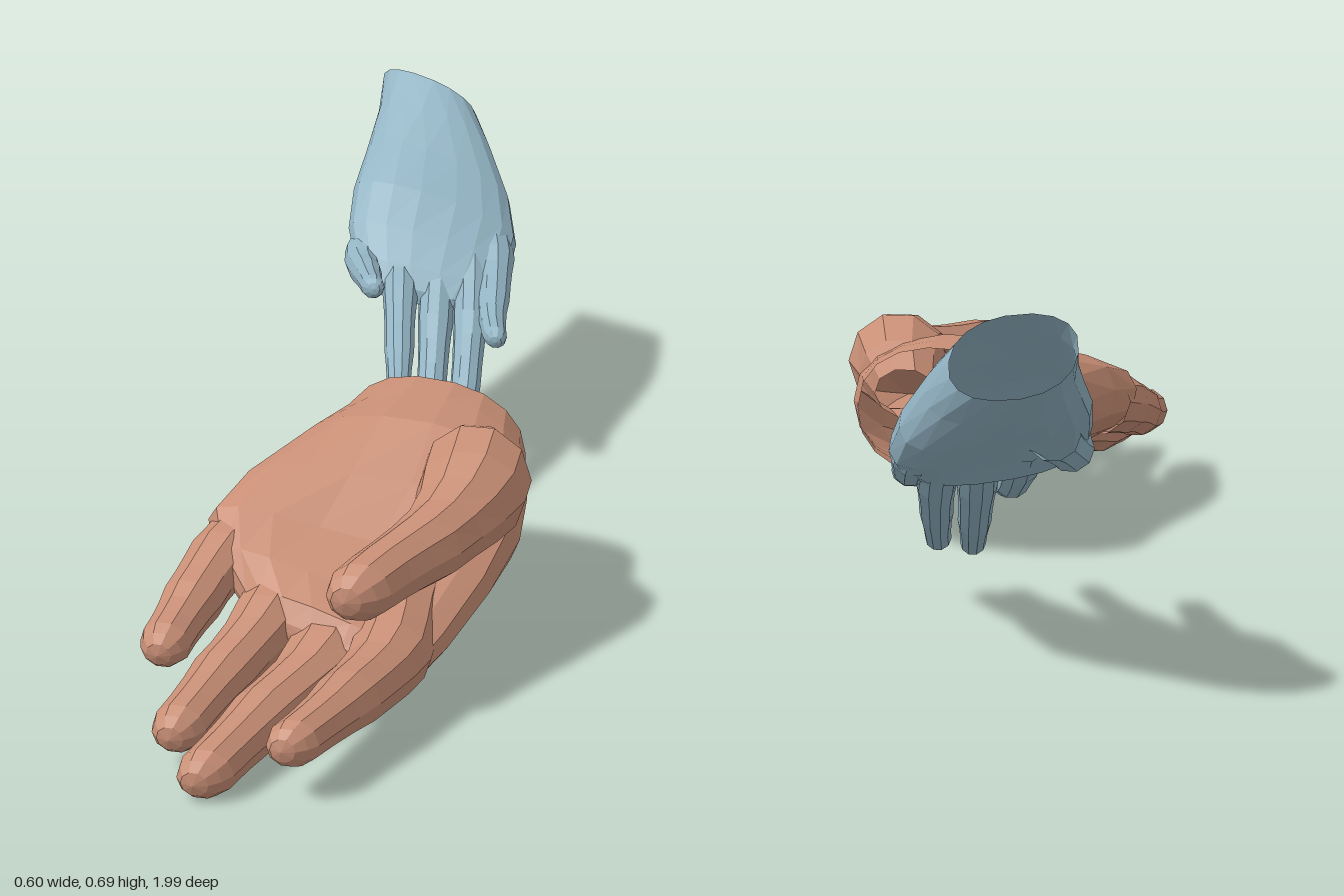
import * as THREE from 'three';

const V = (x, y, z) => new THREE.Vector3(x, y, z);

// Skin through rings: { p: centre, a: half width, b: half thickness, side: width direction, cup: hollow }
// A positive cup hollows the upper face, a negative one the lower face.
// The start stays open, the end closes on the point `tip`.
function loft(rings, sides, tip, power = 1) {
  const pos = [], idx = [];
  rings.forEach((r, i) => {
    const next = i < rings.length - 1 ? rings[i + 1].p : tip;
    const prev = i > 0 ? rings[i - 1].p : r.p;
    const tangent = next.clone().sub(prev).normalize();
    const side = r.side.clone().normalize();
    const up = tangent.clone().cross(side).normalize();
    const cup = r.cup || 0;
    for (let j = 0; j < sides; j++) {
      const t = (j / sides) * Math.PI * 2, c = Math.cos(t), s = Math.sin(t);
      const u = Math.sign(c) * Math.abs(c) ** power * r.a;
      const v = Math.sign(s) * Math.abs(s) ** power * r.b - cup * Math.max(0, s * Math.sign(cup)) ** 3;
      pos.push(...r.p.clone().addScaledVector(side, u).addScaledVector(up, v).toArray());
    }
  });
  pos.push(...tip.toArray());
  const last = rings.length - 1, end = rings.length * sides;
  for (let j = 0; j < sides; j++) {
    const k = (j + 1) % sides;
    for (let i = 0; i < last; i++) {
      const A = i * sides, B = A + sides;
      idx.push(A + j, A + k, B + k, A + j, B + k, B + j);
    }
    idx.push(last * sides + j, last * sides + k, end);
  }
  const g = new THREE.BufferGeometry();
  g.setAttribute('position', new THREE.Float32BufferAttribute(pos, 3));
  g.setIndex(idx);
  g.computeVertexNormals();
  return g;
}

// Digit along points [x, y, z, radius], with slight joint bulges and a rounded tip
function digit(points) {
  const curve = new THREE.CatmullRomCurve3(points.map(p => V(p[0], p[1], p[2])));
  const L = curve.getLength(), tipR = points[points.length - 1][3];
  const body = 1 - tipR / L, rings = [];
  const add = (u, scale) => {
    const f = curve.getUtoTmapping(u) * (points.length - 1);
    const i = Math.min(Math.floor(f), points.length - 2);
    const r = THREE.MathUtils.lerp(points[i][3], points[i + 1][3], f - i) * scale;
    rings.push({ p: curve.getPointAt(u), a: r, b: r, side: V(1, 0, 0) });
  };
  for (let i = 0; i <= 9; i++) add((body * i) / 9, 1 + 0.04 * Math.cos((i / 9) * Math.PI * 6));
  add(1 - (tipR / L) * 0.5, 0.88);
  add(1 - (tipR / L) * 0.15, 0.55);
  return loft(rings, 10, curve.getPointAt(1));
}

// Palm from rows [x, y, z, half width, half thickness, roll, yaw, cup]
function palm(rows, tip) {
  const rings = rows.map(([x, y, z, a, b, roll, yaw, cup]) =>
    ({ p: V(x, y, z), a, b, side: V(1, roll, yaw), cup }));
  return loft(rings, 18, V(...tip), 0.88);
}

function hand(name, color, palmRows, palmTip, digits) {
  const g = new THREE.Group();
  g.name = name;
  const mat = new THREE.MeshStandardMaterial({ color, flatShading: true, side: THREE.DoubleSide });
  const add = (part, geo) => {
    const m = new THREE.Mesh(geo, mat);
    m.name = part;
    g.add(m);
  };
  add('palmAndWrist', palm(palmRows, palmTip));
  for (const [part, pts] of Object.entries(digits)) add(part, digit(pts));
  return g;
}

export function createModel() {
  const model = new THREE.Group();
  model.name = 'reachingHands';

  // Near hand, palm up
  model.add(hand('openHand', 0xc98f76, [
    [0.08, 0.287, 0.055, 0.175, 0.124, 0, 0.22, 0],
    [0.075, 0.28, 0.13, 0.19, 0.128, 0, 0.15, 0],
    [0.06, 0.27, 0.22, 0.222, 0.132, -0.03, 0.08, 0],
    [0.032, 0.25, 0.33, 0.255, 0.124, -0.1, 0, 0.04],
    [-0.003, 0.21, 0.43, 0.258, 0.102, -0.18, 0, 0.045],
    [-0.01, 0.167, 0.53, 0.222, 0.08, -0.24, 0.12, 0.025],
    [0.005, 0.135, 0.6, 0.175, 0.058, -0.24, 0.2, 0],
    [0.005, 0.12, 0.635, 0.14, 0.034, -0.24, 0.25, 0],
  ], [0.01, 0.115, 0.655], {
    thumb: [[0.17, 0.29, 0.19, 0.06], [0.2, 0.328, 0.285, 0.102], [0.2, 0.308, 0.39, 0.09],
      [0.165, 0.288, 0.51, 0.065], [0.11, 0.28, 0.63, 0.061], [0.065, 0.272, 0.745, 0.048]],
    indexFinger: [[0.1, 0.17, 0.46, 0.085], [0.115, 0.12, 0.63, 0.069], [0.075, 0.113, 0.8, 0.054], [0.015, 0.11, 0.98, 0.039]],
    middleFinger: [[0.01, 0.165, 0.46, 0.08], [0, 0.1, 0.63, 0.069], [-0.065, 0.07, 0.8, 0.056], [-0.13, 0.041, 1, 0.043]],
    ringFinger: [[-0.09, 0.195, 0.44, 0.07], [-0.11, 0.143, 0.59, 0.062], [-0.16, 0.098, 0.75, 0.052], [-0.195, 0.073, 0.915, 0.042]],
    littleFinger: [[-0.18, 0.24, 0.38, 0.065], [-0.225, 0.2, 0.52, 0.058], [-0.25, 0.16, 0.63, 0.049], [-0.262, 0.138, 0.745, 0.04]],
  }));

  // Far hand, palm down, sloping towards the near one
  model.add(hand('loweredHand', 0x93b4c4, [
    [-0.15, 0.628, -0.935, 0.114, 0.074, -0.18, 0.35, 0],
    [-0.122, 0.575, -0.86, 0.133, 0.074, -0.26, 0.2, 0],
    [-0.098, 0.51, -0.775, 0.16, 0.074, -0.3, 0.08, -0.01],
    [-0.087, 0.453, -0.69, 0.176, 0.069, -0.28, 0, -0.02],
    [-0.085, 0.404, -0.62, 0.17, 0.056, -0.22, 0, -0.015],
    [-0.08, 0.362, -0.56, 0.145, 0.04, -0.18, 0, 0],
    [-0.075, 0.338, -0.525, 0.11, 0.022, -0.18, 0, 0],
  ], [-0.07, 0.326, -0.51], {
    thumb: [[0.01, 0.46, -0.73, 0.035], [0.04, 0.405, -0.66, 0.044], [0.058, 0.36, -0.58, 0.036],
      [0.073, 0.32, -0.49, 0.029], [0.096, 0.3, -0.41, 0.022]],
    indexFinger: [[0, 0.4, -0.63, 0.042], [0.02, 0.333, -0.54, 0.037], [0.042, 0.215, -0.38, 0.029], [0.057, 0.12, -0.23, 0.022]],
    middleFinger: [[-0.06, 0.41, -0.62, 0.042], [-0.05, 0.34, -0.54, 0.037], [-0.024, 0.2, -0.365, 0.029], [-0.002, 0.106, -0.2, 0.022]],
    ringFinger: [[-0.14, 0.42, -0.63, 0.042], [-0.125, 0.36, -0.54, 0.036], [-0.092, 0.276, -0.38, 0.029], [-0.06, 0.232, -0.23, 0.021]],
    littleFinger: [[-0.19, 0.44, -0.68, 0.045], [-0.212, 0.391, -0.58, 0.039], [-0.182, 0.391, -0.49, 0.03], [-0.145, 0.4, -0.39, 0.022]],
  }));
  return model;
}
